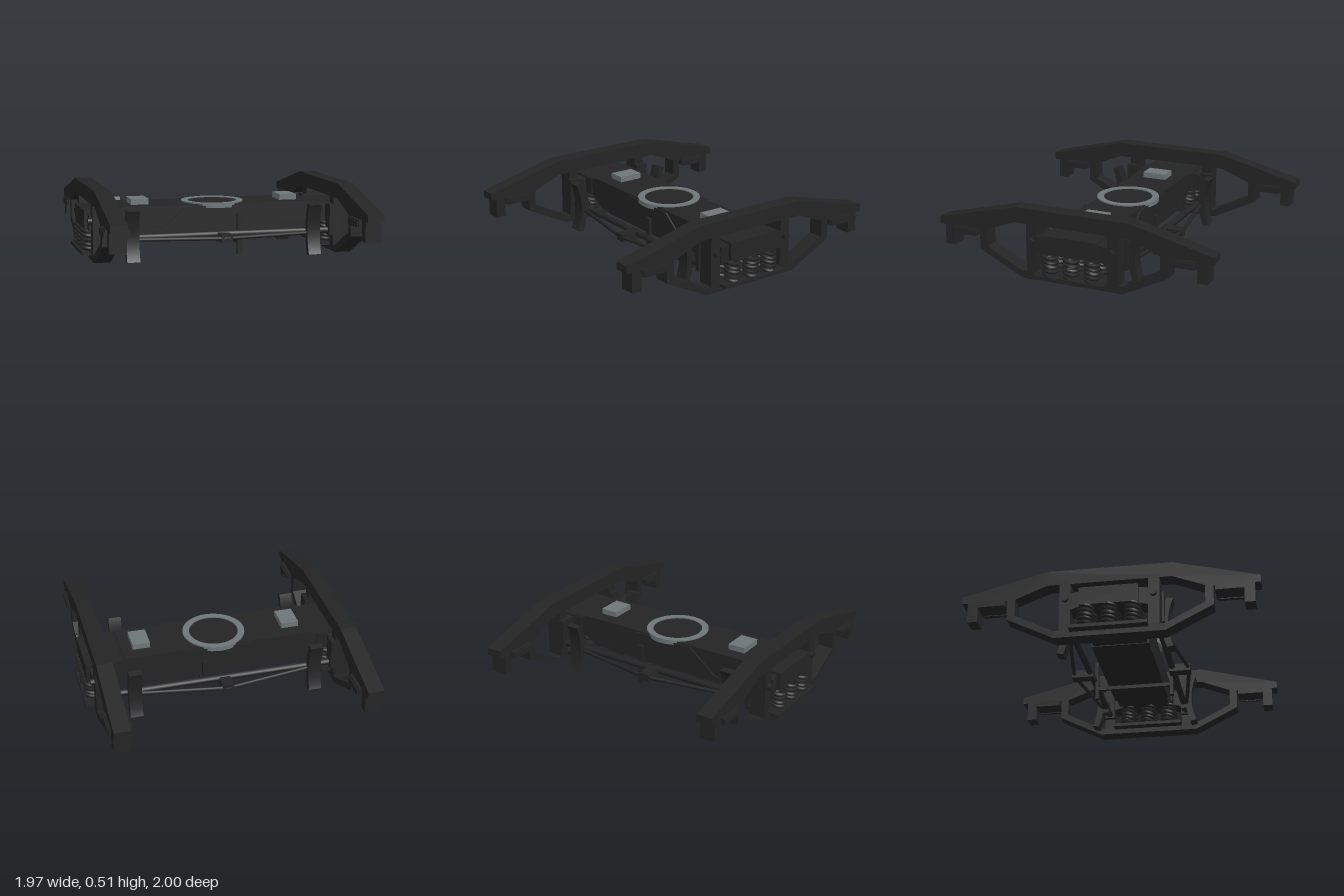
import * as THREE from 'three';

const castIron = new THREE.MeshStandardMaterial({ color: 0x242424 });
castIron.name = 'cast iron';
const wornSteel = new THREE.MeshStandardMaterial({ color: 0x6e7678 });
wornSteel.name = 'worn steel';

export function createModel() {
  const model = new THREE.Group();
  model.name = 'railTruck';

  const add = (name, geometry, material = castIron, parent = model) => {
    const mesh = new THREE.Mesh(geometry, material);
    mesh.name = name;
    parent.add(mesh);
    return mesh;
  };
  // Box given by its limits on each axis
  const box = (name, x0, x1, y0, y1, z0, z1, material, parent) => {
    const g = new THREE.BoxGeometry(x1 - x0, y1 - y0, z1 - z0);
    g.translate((x0 + x1) / 2, (y0 + y1) / 2, (z0 + z1) / 2);
    return add(name, g, material, parent);
  };
  // Straight round bar between two points
  const bar = (name, a, b, radius, parent) => {
    const path = new THREE.LineCurve3(new THREE.Vector3(...a), new THREE.Vector3(...b));
    return add(name, new THREE.TubeGeometry(path, 1, radius, 10), castIron, parent);
  };
  const vectors = (points) => points.map(([x, y]) => new THREE.Vector2(x, y));
  const mirrored = (half) => [...half, ...half.map(([x, y]) => [-x, y]).reverse()];
  const extrude = (shape, depth) => {
    const g = new THREE.ExtrudeGeometry(shape, { depth, bevelEnabled: false, curveSegments: 12 });
    return g.translate(0, 0, -depth / 2);
  };

  // Side frame profile, drawn in z and y
  const frame = new THREE.Shape(vectors(mirrored([
    [0.37, 0.02], [0.69, 0.18], [0.69, 0.32], [0.89, 0.32], [0.89, 0.18],
    [0.96, 0.18], [0.96, 0.32], [1, 0.32], [1, 0.37], [0.42, 0.515],
  ])));
  frame.holes.push(new THREE.Path(vectors(mirrored([[0.26, 0.08], [0.26, 0.41]]))));
  for (const s of [1, -1]) {
    frame.holes.push(new THREE.Path(vectors([
      [0.335 * s, 0.07], [0.37 * s, 0.07], [0.635 * s, 0.205],
      [0.635 * s, 0.325], [0.42 * s, 0.41], [0.335 * s, 0.41],
    ])));
  }
  const frameGeometry = extrude(frame, 0.115).rotateY(-Math.PI / 2);

  // Coil spring, standing on the spring seat
  const coil = [];
  for (let i = 0; i <= 60; i++) {
    const a = (i / 60) * Math.PI * 9;
    coil.push(new THREE.Vector3(0.045 * Math.cos(a), 0.085 + 0.135 * (i / 60), 0.045 * Math.sin(a)));
  }
  const springGeometry = new THREE.TubeGeometry(new THREE.CatmullRomCurve3(coil), 96, 0.013, 6);

  for (const [side, s] of [['left', 1], ['right', -1]]) {
    const group = new THREE.Group();
    group.name = side + 'SideAssembly';
    model.add(group);
    const sideBox = (name, x0, x1, ...rest) =>
      box(name, Math.min(x0 * s, x1 * s), Math.max(x0 * s, x1 * s), ...rest, castIron, group);

    add('sideFrame', frameGeometry, castIron, group).position.x = 0.865 * s;
    sideBox('springSeat', 0.74, 0.985, 0.055, 0.078, -0.26, 0.26);
    for (const x of [0.8, 0.925]) {
      for (const z of [-0.155, 0, 0.155]) {
        add('spring', springGeometry, castIron, group).position.set(x * s, 0, z);
      }
    }
    for (const e of [1, -1]) {
      const span = (a, b) => [Math.min(a * e, b * e), Math.max(a * e, b * e)];
      sideBox('axleAdapter', 0.785, 0.935, 0.28, 0.325, ...span(0.7, 0.89));
      sideBox('adapterInnerLip', 0.775, 0.806, 0.275, 0.315, ...span(0.71, 0.88));
      sideBox('adapterOuterLip', 0.924, 0.945, 0.275, 0.315, ...span(0.71, 0.88));
      sideBox('columnGuide', 0.775, 0.81, 0.14, 0.36, ...span(0.26, 0.35));
      // Friction wedge beside the bolster end
      const wedge = new THREE.Shape(vectors([
        [0.19 * e, 0.23], [0.26 * e, 0.21], [0.26 * e, 0.33], [0.19 * e, 0.345],
      ]));
      const wedgeGeometry = extrude(wedge, 0.14).rotateY(-Math.PI / 2);
      add('frictionWedge', wedgeGeometry, castIron, group).position.x = 0.865 * s;
      const bolt = add('columnBolt', new THREE.CylinderGeometry(0.022, 0.022, 0.03, 10), castIron, group);
      bolt.rotation.z = Math.PI / 2;
      bolt.position.set(0.935 * s, 0.295, 0.295 * e);
    }
  }

  // Bolster: deep in the middle, shallow over the springs
  const bolster = new THREE.Shape(vectors(mirrored([
    [0.6, 0.155], [0.72, 0.23], [0.96, 0.23], [0.96, 0.358], [0.7, 0.358], [0.68, 0.37],
  ])));
  add('bolster', extrude(bolster, 0.375));
  for (const s of [1, -1]) {
    box('bolsterEnd', Math.min(0.72 * s, 0.96 * s), Math.max(0.72 * s, 0.96 * s), 0.23, 0.356, -0.198, 0.198);
    box('bearingPad', 0.545 * s - 0.063, 0.545 * s + 0.063, 0.365, 0.41, -0.088, 0.088, wornSteel);
  }
  const cheek = new THREE.Shape(vectors(mirrored([[0.48, 0.15], [0.48, 0.18], [0.43, 0.2], [0.23, 0.36]])));
  add('bolsterCheeks', extrude(cheek, 0.4));

  // Centre bowl
  const rim = vectors([[0.175, 0.345], [0.222, 0.345], [0.222, 0.378], [0.175, 0.378], [0.175, 0.345]]);
  for (let i = 0; i < 4; i++) {
    add('centreBowlRim', new THREE.LatheGeometry([rim[i], rim[i + 1]], 40), wornSteel);
  }
  const floor = add('centreBowlFloor', new THREE.CylinderGeometry(0.178, 0.178, 0.02, 40));
  floor.position.y = 0.362;

  // Brake shoe: an arc that follows the wheel tread
  const shoe = new THREE.Shape();
  shoe.absarc(0.8, 0.19, 0.485, Math.PI - 0.39, Math.PI + 0.39, false);
  shoe.absarc(0.8, 0.19, 0.44, Math.PI + 0.41, Math.PI - 0.41, true);
  shoe.closePath();
  const shoeGeometry = extrude(shoe, 0.092).rotateY(-Math.PI / 2);

  // Brake gear, the same at both ends
  for (const [end, e] of [['front', 1], ['back', -1]]) {
    const gear = new THREE.Group();
    gear.name = end + 'BrakeGear';
    model.add(gear);
    const endBox = (name, x0, x1, y0, y1, z0, z1) =>
      box(name, x0, x1, y0, y1, Math.min(z0 * e, z1 * e), Math.max(z0 * e, z1 * e), castIron, gear);

    bar('brakeBeam', [-0.81, 0.17, 0.297 * e], [0.81, 0.17, 0.297 * e], 0.024, gear);
    endBox('brakeStrut', -0.04, 0.04, 0.13, 0.185, 0.275, 0.428);
    endBox('brakeLever', 0.112, 0.15, 0.02, 0.31, 0.262, 0.285);
    for (const s of [1, -1]) {
      bar('trussRod', [0.66 * s, 0.16, 0.315 * e], [0, 0.16, 0.418 * e], 0.014, gear);
      endBox('brakeHead', 0.652 * s - 0.035, 0.652 * s + 0.035, 0.12, 0.22, 0.28, 0.345);
      const mesh = add('brakeShoe', shoeGeometry, castIron, gear);
      mesh.position.x = 0.652 * s;
      if (e < 0) mesh.rotation.y = Math.PI;
    }
  }
  box('leverRod', 0.12, 0.142, 0.09, 0.115, -0.28, 0.28);

  return model;
}
